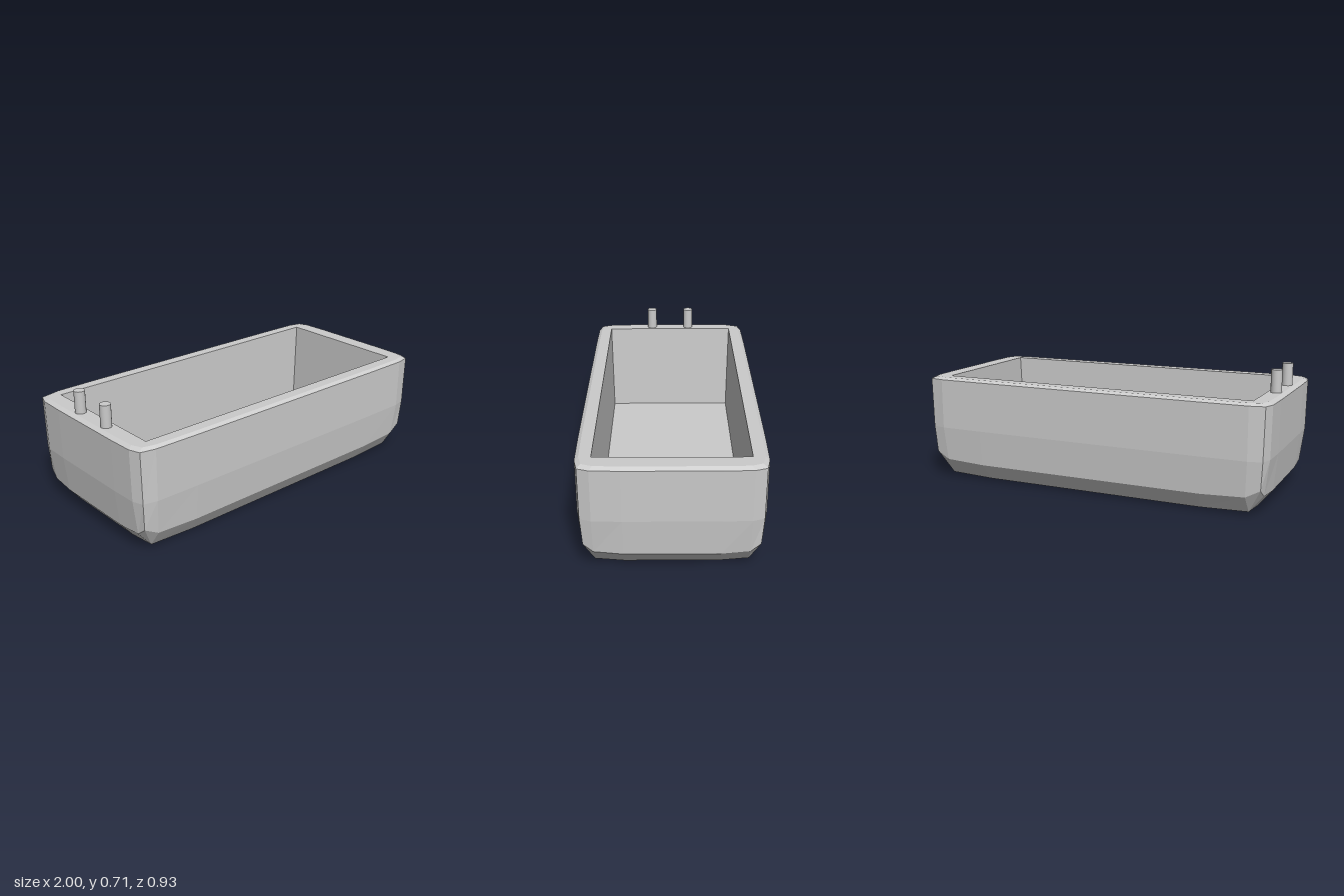
import * as THREE from 'three';

// Mirrors one quadrant of [x, y, z] points into a closed ring, shifted by dx.
function ring(quadrant, dx = 0) {
  const back = [...quadrant].reverse();
  return [
    ...quadrant.map(([x, y, z]) => [x + dx, y, z]),
    ...back.map(([x, y, z]) => [-x + dx, y, z]),
    ...quadrant.map(([x, y, z]) => [-x + dx, y, -z]),
    ...back.map(([x, y, z]) => [x + dx, y, -z]),
  ];
}

// Skins consecutive rings with faceted triangles, leaving out collapsed ones.
function loft(rings) {
  const out = [];
  const same = (p, q) => p.every((v, i) => Math.abs(v - q[i]) < 1e-6);
  const tri = (p, q, r) => {
    if (!same(p, q) && !same(q, r) && !same(p, r)) out.push(...p, ...q, ...r);
  };
  for (let i = 0; i < rings.length - 1; i++) {
    const lo = rings[i], hi = rings[i + 1], n = lo.length;
    for (let j = 0; j < n; j++) {
      const k = (j + 1) % n;
      tri(lo[j], hi[j], lo[k]);
      tri(lo[k], hi[j], hi[k]);
    }
  }
  const geometry = new THREE.BufferGeometry();
  geometry.setAttribute('position', new THREE.Float32BufferAttribute(out, 3));
  geometry.computeVertexNormals();
  return geometry;
}

// Rounded rectangle: end, three corner points, long side.
const wall = (y, x, z, inset = 0) => ring([
  [x, y, 0.24], [x - 0.004, y, 0.388 - inset], [x - 0.025, y, z - 0.02],
  [0.895 - inset, y, z - 0.003], [0.65, y, z],
]);

// Sharp-cornered rectangle with the same number of points.
const rect = (y, x, z, dx) => ring([
  [x, y, 0.24], [x, y, z], [x, y, z], [x, y, z], [0.65, y, z],
], dx);

const point = (y, dx = 0) => ring(Array(5).fill([0, y, 0]), dx);

export function createModel() {
  const model = new THREE.Group();
  const facet = new THREE.MeshStandardMaterial({ color: 0xcccccc, flatShading: true });
  const smooth = new THREE.MeshStandardMaterial({ color: 0xcccccc });
  const add = (name, geometry, material) => {
    const mesh = new THREE.Mesh(geometry, material);
    mesh.name = name;
    model.add(mesh);
    return mesh;
  };

  const opening = { y: 0.59, x: 0.89, z: 0.385, dx: -0.006 };
  const openingRing = rect(opening.y, opening.x, opening.z, opening.dx);

  // Outer shell from the underside up over the rim
  add('tubShell', loft([
    point(0),
    ring([[0.63, 0, 0.24], [0.63, 0, 0.24], [0.63, 0, 0.24], [0.63, 0, 0.24], [0.63, 0, 0.24]]),
    ring([[0.9, 0.012, 0.24], [0.89, 0.018, 0.385], [0.89, 0.018, 0.385],
      [0.89, 0.018, 0.385], [0.63, 0.01, 0.39]]),
    ring([[0.973, 0.1, 0.24], [0.966, 0.11, 0.385], [0.961, 0.15, 0.436],
      [0.885, 0.11, 0.444], [0.65, 0.1, 0.448]]),
    wall(0.3, 0.995, 0.466),
    wall(0.578, 1, 0.467),
    wall(0.59, 0.975, 0.448, 0.015),
    openingRing,
  ]), facet);

  // Inner walls and floor, narrowing slightly at the ends
  add('basin', loft([
    openingRing,
    rect(0.06, 0.866, 0.377, opening.dx),
    point(0.06, opening.dx),
  ]), facet);

  // Two tap posts on the rim
  for (const [name, z] of [['frontTap', 0.117], ['backTap', -0.117]]) {
    add(name, new THREE.CylinderGeometry(0.029, 0.029, 0.13, 24), smooth)
      .position.set(-0.94, 0.645, z);
  }
  return model;
}
